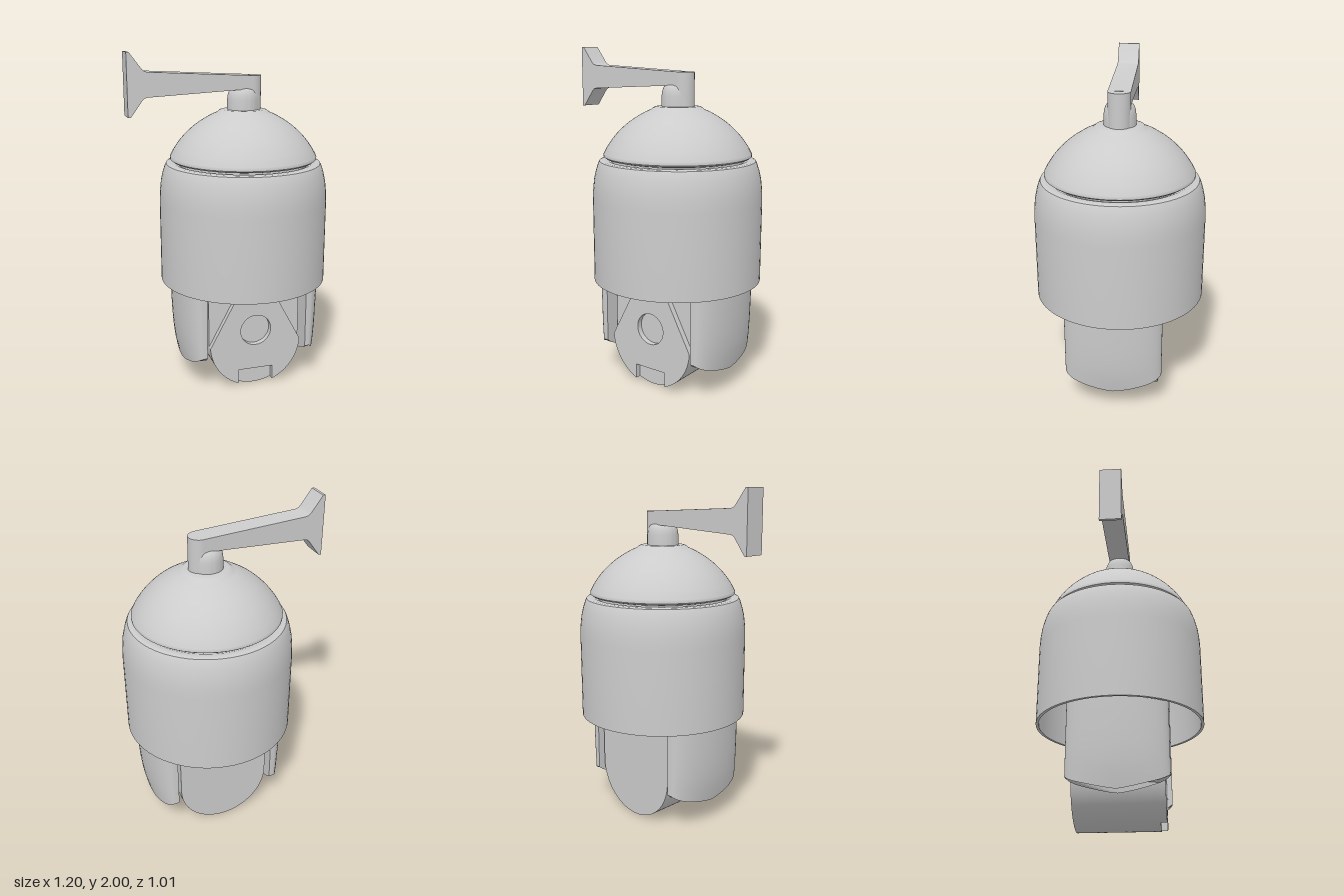
import * as THREE from 'three';
import { toCreasedNormals } from 'three/addons/utils/BufferGeometryUtils.js';

const AXIS = 0.095; // x of the vertical axis of the camera body

export function createModel() {
  const model = new THREE.Group();
  const material = new THREE.MeshStandardMaterial({ color: 0xcccccc, side: THREE.DoubleSide });

  function add(name, geometry, x = 0, y = 0, z = 0) {
    const mesh = new THREE.Mesh(toCreasedNormals(geometry, 0.55), material);
    mesh.name = name;
    mesh.position.set(x, y, z);
    model.add(mesh);
    return mesh;
  }
  const lathe = (pts) => new THREE.LatheGeometry(pts.map((p) => new THREE.Vector2(...p)), 72);
  const extrude = (shape, depth, steps = 1) =>
    new THREE.ExtrudeGeometry(shape, { depth, steps, bevelEnabled: false, curveSegments: 32 });
  const polygon = (pts) => new THREE.Shape(pts.map((p) => new THREE.Vector2(...p)));

  // Open-bottomed housing with a recessed ceiling
  add('housing', lathe([
    [0, 0.95], [0.488, 0.95], [0.488, 0.625], [0.505, 0.625], [0.505, 1.12], [0.502, 1.18],
    [0.495, 1.24], [0.483, 1.29], [0.47, 1.33], [0.462, 1.345], [0.45, 1.35], [0.415, 1.35],
    [0.4, 1.343], [0, 1.343],
  ]), AXIS);

  // Domed cap with an undercut lip
  const curve = new THREE.SplineCurve([
    [0.438, 1.385], [0.41, 1.435], [0.36, 1.5], [0.29, 1.565], [0.21, 1.617], [0.155, 1.643],
  ].map((p) => new THREE.Vector2(...p))).getPoints(24).map((p) => [p.x, p.y]);
  add('domeCap', lathe([
    [0.395, 1.34], [0.395, 1.355], [0.425, 1.362], [0.438, 1.372], ...curve,
    [0.14, 1.656], [0.125, 1.66], [0, 1.66],
  ]), AXIS);

  // Round-topped neck between the cap and the arm
  add('neck', lathe([
    [0.093, 1.65], [0.092, 1.72], [0.088, 1.75], [0.077, 1.775], [0.055, 1.792], [0.03, 1.799], [0, 1.8],
  ]), AXIS - 0.003);

  // Wall bracket: flared plate and tapered arm in one profile, with a rounded end post
  const arm = polygon([
    [-0.6, 1.64], [-0.585, 1.64], [-0.515, 1.735], [-0.502, 1.746], [-0.485, 1.75],
    [0.05, 1.778], [0.135, 1.778], [0.135, 1.858], [-0.485, 1.89], [-0.502, 1.895],
    [-0.515, 1.906], [-0.585, 2], [-0.6, 2],
  ]);
  add('wallBracket', extrude(arm, 0.13), 0, 0, -0.065);
  add('bracketPost', new THREE.CylinderGeometry(0.065, 0.065, 0.207, 40), 0.135, 1.7535, 0);

  // Camera head: straight sides and a half-round bottom
  const R = 0.285;
  const body = new THREE.Shape();
  body.moveTo(-R, 0.95);
  body.lineTo(-R, R);
  body.absarc(0, R, R, Math.PI, 2 * Math.PI, false);
  body.lineTo(R, 0.95);
  add('cameraHead', extrude(body, 0.485), AXIS, 0, -0.25);

  // Front plate with slanted shoulders, a lens opening and a notch at the bottom
  const notch = Math.asin(0.108 / R);
  const face = new THREE.Shape();
  face.moveTo(-0.08, 0.65);
  face.lineTo(-R, 0.27);
  face.absarc(0, R, R, Math.PI + 0.05, 1.5 * Math.PI - notch, false);
  face.lineTo(-0.108, 0.11);
  face.lineTo(0.108, 0.11);
  face.absarc(0, R, R, 1.5 * Math.PI + notch, 2 * Math.PI - 0.05, false);
  face.lineTo(0.08, 0.65);
  const lens = new THREE.Path();
  lens.absarc(0, 0.36, 0.095, 0, 2 * Math.PI, true);
  face.holes.push(lens);
  add('frontPlate', extrude(face, 0.035), AXIS, 0, 0.235);

  // Side shields: bowed section (z, outward) extruded upwards, lower edge shaped to a V
  const HALF = 0.287, INNER = 0.31, N = 20;
  const section = [];
  for (let i = 0; i <= N; i++) section.push([HALF * (1 - 2 * i / N), 0]);
  section.reverse();
  for (let i = 0; i <= N; i++) {
    const s = Math.cos(Math.PI * i / N);
    section.push([HALF * s, 0.03 + 0.11 * Math.pow(1 - s * s, 0.6)]);
  }
  function shieldGeometry() {
    const geometry = extrude(polygon(section), 1, 10);
    const pos = geometry.attributes.position;
    for (let i = 0; i < pos.count; i++) {
      const z = pos.getX(i), out = pos.getY(i), h = pos.getZ(i);
      const s = Math.abs(z) / HALF;
      const low = 0.137 + 0.07 * Math.pow(s, 1.3) + 0.02 * Math.pow(s, 12);
      const y = low + h * (0.95 - low);
      const drop = Math.max(0, (0.65 - y) / 0.51);
      pos.setXYZ(i, INNER + out * (1 - 0.1 * drop - 0.22 * drop ** 4), y, z);
    }
    return geometry;
  }
  add('leftShield', shieldGeometry(), AXIS, 0, 0.012);
  add('rightShield', shieldGeometry(), AXIS, 0, 0.012).rotation.y = Math.PI;

  return model;
}
